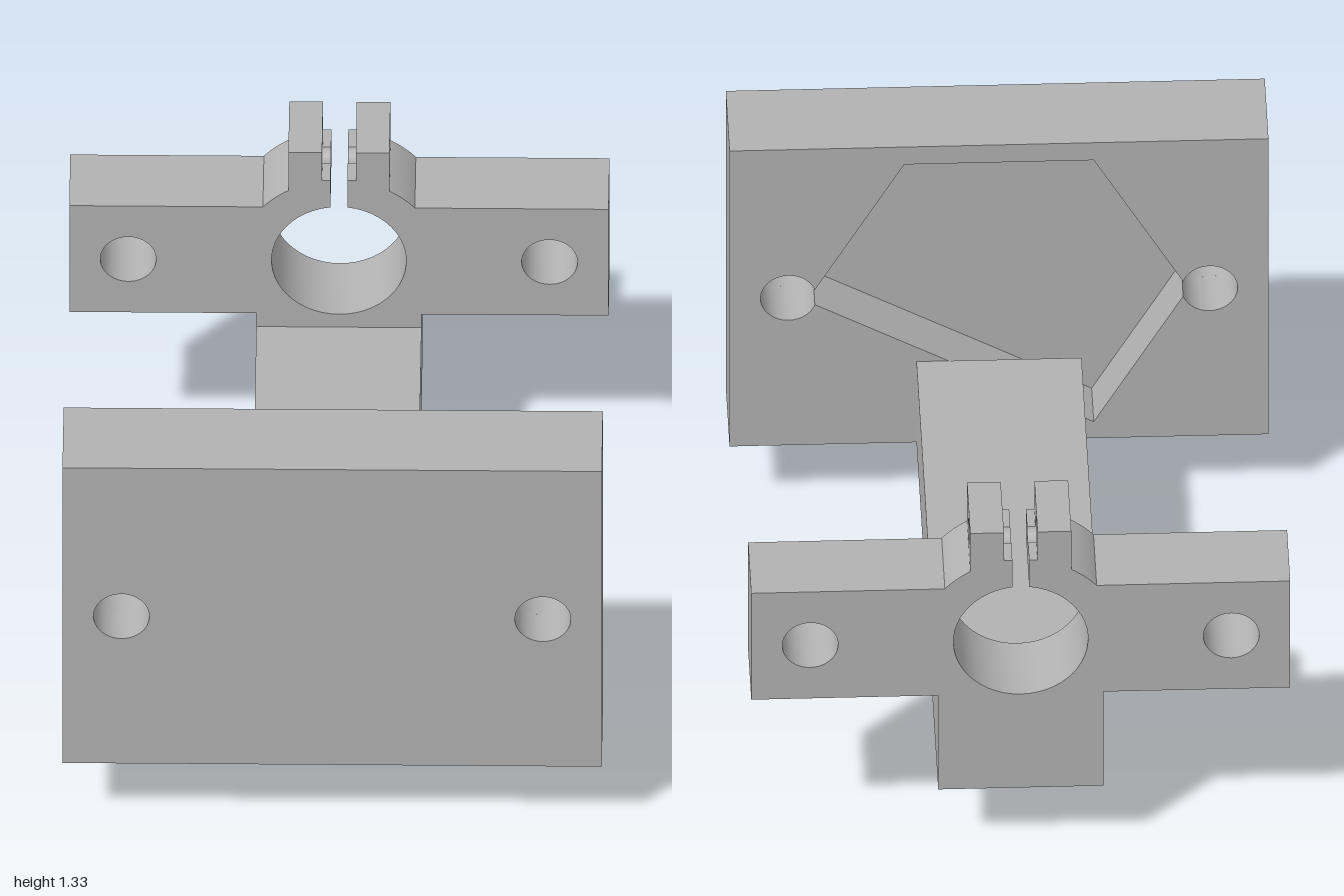
import * as THREE from 'three';
import { toCreasedNormals } from 'three/addons/utils/BufferGeometryUtils.js';

const AXIS_Y = 0.778; // height shared by the bore, the pocket and the bolt holes
const BOLT_X = 0.625, BOLT_R = 0.083;

export function createModel() {
  const model = new THREE.Group();
  model.name = 'clampBracket';
  const grey = new THREE.MeshStandardMaterial({ color: 0xb2b2b2 });
  grey.name = 'grey';

  const add = (name, geometry) => {
    const mesh = new THREE.Mesh(geometry, grey);
    mesh.name = name;
    model.add(mesh);
    return mesh;
  };
  const box = (name, x, y0, y1, z0, z1) => {
    const mesh = add(name, new THREE.BoxGeometry(2 * x, y1 - y0, z1 - z0));
    mesh.position.set(0, (y0 + y1) / 2, (z0 + z1) / 2);
  };
  const extrude = (shape, depth) => toCreasedNormals(
    new THREE.ExtrudeGeometry(shape, { depth, bevelEnabled: false, curveSegments: 24 }), 0.5);
  const slab = (name, shape, z0, z1) => {
    add(name, extrude(shape, z1 - z0)).position.z = z0;
  };
  const rect = (x, y0, y1) => new THREE.Shape([
    new THREE.Vector2(-x, y0), new THREE.Vector2(x, y0),
    new THREE.Vector2(x, y1), new THREE.Vector2(-x, y1)]);
  const circle = (x, y, r) => new THREE.Path().absarc(x, y, r, 0, Math.PI * 2, true);
  const addBoltHoles = (shape) => {
    for (const s of [-1, 1]) shape.holes.push(circle(s * BOLT_X, AXIS_Y, BOLT_R));
  };

  // Front plate: outer layer with two bolt holes
  const face = rect(0.8, 0.23, 1.33);
  addBoltHoles(face);
  slab('frontPlateFace', face, 0.87, 1);

  // Front plate: inner layer with a hexagonal pocket that breaks into the bolt holes
  const R = 0.5625, H = R * Math.sqrt(3) / 2;
  const gap = BOLT_X - R;
  const t = (-gap + Math.sqrt(4 * BOLT_R * BOLT_R - 3 * gap * gap)) / 2;
  const a = Math.atan2(t * Math.sqrt(3) / 2, gap + t / 2);
  const pocket = new THREE.Path();
  pocket.moveTo(R / 2, AXIS_Y - H);
  pocket.absarc(BOLT_X, AXIS_Y, BOLT_R, -Math.PI + a, Math.PI - a, false);
  pocket.lineTo(R / 2, AXIS_Y + H);
  pocket.lineTo(-R / 2, AXIS_Y + H);
  pocket.absarc(-BOLT_X, AXIS_Y, BOLT_R, a, Math.PI * 2 - a, false);
  pocket.lineTo(-R / 2, AXIS_Y - H);
  pocket.closePath();
  const rim = rect(0.8, 0.23, 1.33);
  rim.holes.push(pocket);
  slab('frontPlatePocket', rim, 0.705, 0.87);

  // Connecting arm and the small peg below it
  box('arm', 0.245, 0.23, 0.53, -0.75, 0.705);
  box('peg', 0.122, 0, 0.23, 0.195, 0.315);

  // Rear clamp: post, wings and split ring in one profile
  const wingTop = 0.976, earBase = 1.038, ringR = 0.3, boreR = 0.2, slit = 0.025;
  const a0 = Math.asin((wingTop - AXIS_Y) / ringR);
  const a1 = Math.asin((earBase - AXIS_Y) / ringR);
  const b = Math.asin(slit / boreR);
  const clamp = new THREE.Shape();
  clamp.moveTo(-0.245, 0.23);
  clamp.lineTo(0.245, 0.23);
  clamp.lineTo(0.245, 0.58);
  clamp.lineTo(0.8, 0.58);
  clamp.lineTo(0.8, wingTop);
  clamp.absarc(0, AXIS_Y, ringR, a0, a1, false);
  clamp.lineTo(slit, earBase);
  clamp.absarc(0, AXIS_Y, boreR, Math.PI / 2 - b, -Math.PI * 1.5 + b, true);
  clamp.lineTo(-slit, earBase);
  clamp.absarc(0, AXIS_Y, ringR, Math.PI - a1, Math.PI - a0, false);
  clamp.lineTo(-0.8, wingTop);
  clamp.lineTo(-0.8, 0.58);
  clamp.lineTo(-0.245, 0.58);
  clamp.closePath();
  addBoltHoles(clamp);
  slab('clampBody', clamp, -1, -0.75);

  // Clamp ears with a cross screw hole, and the ring lips notched by that hole
  const screwY = 1.09, screwR = 0.042, lipTop = 1.076;
  const ear = rect(0.125, earBase, 1.18);
  ear.holes.push(circle(0, screwY, screwR));
  const n = Math.asin((screwY - lipTop) / screwR);
  const lip = new THREE.Shape();
  lip.moveTo(-0.125, earBase);
  lip.lineTo(0.125, earBase);
  lip.lineTo(0.125, lipTop);
  lip.absarc(0, screwY, screwR, -n, -Math.PI + n, true);
  lip.lineTo(-0.125, lipTop);
  lip.closePath();
  const across = (name, shape, x0, x1) => {
    const mesh = add(name, extrude(shape, x1 - x0).rotateY(Math.PI / 2));
    mesh.position.set(x0, 0, -0.875);
  };
  across('leftEar', ear, 0.05, 0.15);
  across('rightEar', ear, -0.15, -0.05);
  across('leftLip', lip, slit, 0.05);
  across('rightLip', lip, -0.05, -slit);

  return model;
}
